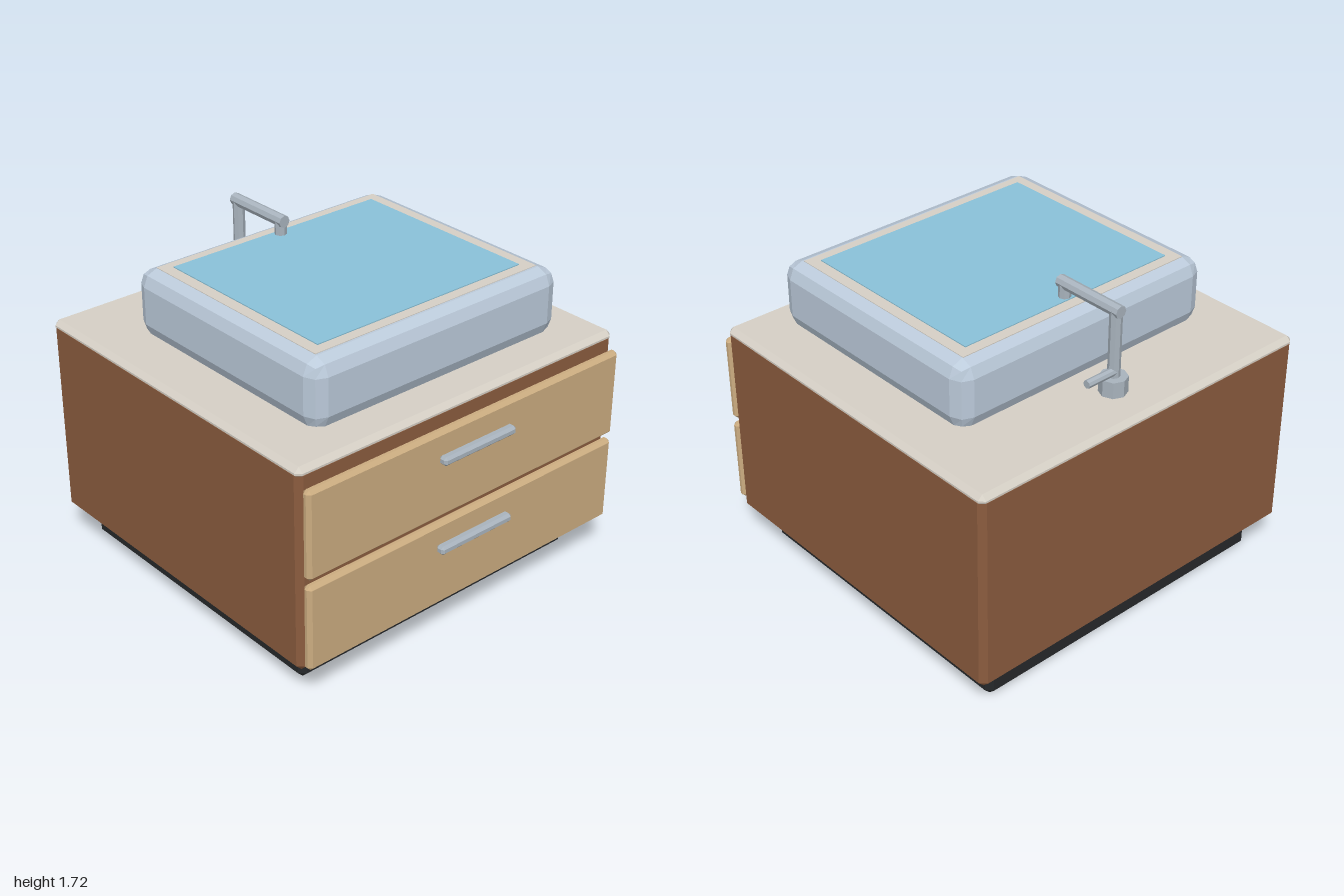
import * as THREE from 'three';
import { RoundedBoxGeometry } from 'three/addons/geometries/RoundedBoxGeometry.js';
import { ConvexGeometry } from 'three/addons/geometries/ConvexGeometry.js';

const mat = (color) => new THREE.MeshStandardMaterial({ color, flatShading: true });

// Box from min to max with a single flat chamfer of size c on every edge
function chamferBox(min, max, c) {
  const half = min.map((v, i) => (max[i] - v) / 2);
  const points = [];
  for (const x of [-1, 1]) for (const y of [-1, 1]) for (const z of [-1, 1]) {
    const s = [x, y, z];
    for (let axis = 0; axis < 3; axis++) {
      points.push(new THREE.Vector3(...s.map((v, i) => v * (half[i] - (i === axis ? 0 : c)))));
    }
  }
  const geo = new ConvexGeometry(points);
  geo.translate(...min.map((v, i) => (v + max[i]) / 2));
  return geo;
}

export function createModel() {
  const group = new THREE.Group();
  const walnut = mat(0x8b5c3e), oak = mat(0xcbac80), stone = mat(0xd6d0c6);
  const ceramic = mat(0xbccbdb), metal = mat(0xa9b4be), black = mat(0x26282a), blue = mat(0x8ac2d9);

  const add = (name, geo, material, parent = group) => {
    const mesh = new THREE.Mesh(geo, material);
    mesh.name = name;
    parent.add(mesh);
    return mesh;
  };

  // Plinth, cabinet and countertop
  add('plinth', chamferBox([-0.885, 0, -0.91], [0.885, 0.18, 0.76], 0.03), black);
  add('cabinet', chamferBox([-1, 0.175, -1], [1, 1.248, 0.89], 0.03), walnut);
  add('countertop', chamferBox([-1, 1.195, -1], [1, 1.255, 0.89], 0.025), stone);

  // Drawer fronts with bar handles
  for (const [name, bottom, top, handleY] of [['lower', 0.21, 0.67, 0.55], ['upper', 0.7, 1.165, 1.033]]) {
    add(name + 'Drawer', chamferBox([-0.99, bottom, 0.893], [0.99, top, 0.945], 0.018), oak);
    add(name + 'Handle', chamferBox([-0.23, handleY - 0.023, 0.95], [0.23, handleY + 0.023, 1], 0.013), metal);
  }

  // Vessel basin with a light rim and the water inside it
  const basin = add('basin', new RoundedBoxGeometry(1.54, 0.352, 1.33, 1, 0.078), ceramic);
  basin.position.set(0, 1.429, 0.065);
  const rim = add('basinRim', new THREE.BoxGeometry(1.38, 0.03, 1.165), stone);
  rim.position.set(0, 1.593, 0.058);
  const water = add('water', new THREE.BoxGeometry(1.26, 0.03, 1.055), blue);
  water.position.set(0, 1.598, 0.058);

  // Tap: base, post, arm, spout and side lever
  const tap = new THREE.Group();
  tap.name = 'tap';
  group.add(tap);
  const rod = (name, r, from, to) => {
    const a = new THREE.Vector3(...from), b = new THREE.Vector3(...to);
    const dir = b.clone().sub(a);
    const mesh = add(name, new THREE.CylinderGeometry(r, r, dir.length(), 8), metal, tap);
    mesh.position.copy(a).add(b).multiplyScalar(0.5);
    mesh.quaternion.setFromUnitVectors(new THREE.Vector3(0, 1, 0), dir.normalize());
  };
  rod('tapBase', 0.07, [0, 1.25, -0.77], [0, 1.34, -0.77]);
  rod('tapPost', 0.031, [0, 1.33, -0.77], [0, 1.69, -0.77]);
  rod('tapArm', 0.032, [0, 1.685, -0.801], [0, 1.685, -0.405]);
  rod('tapSpout', 0.031, [0, 1.59, -0.436], [0, 1.69, -0.436]);
  rod('tapLever', 0.021, [0, 1.37, -0.778], [0.18, 1.37, -0.778]);

  return group;
}
